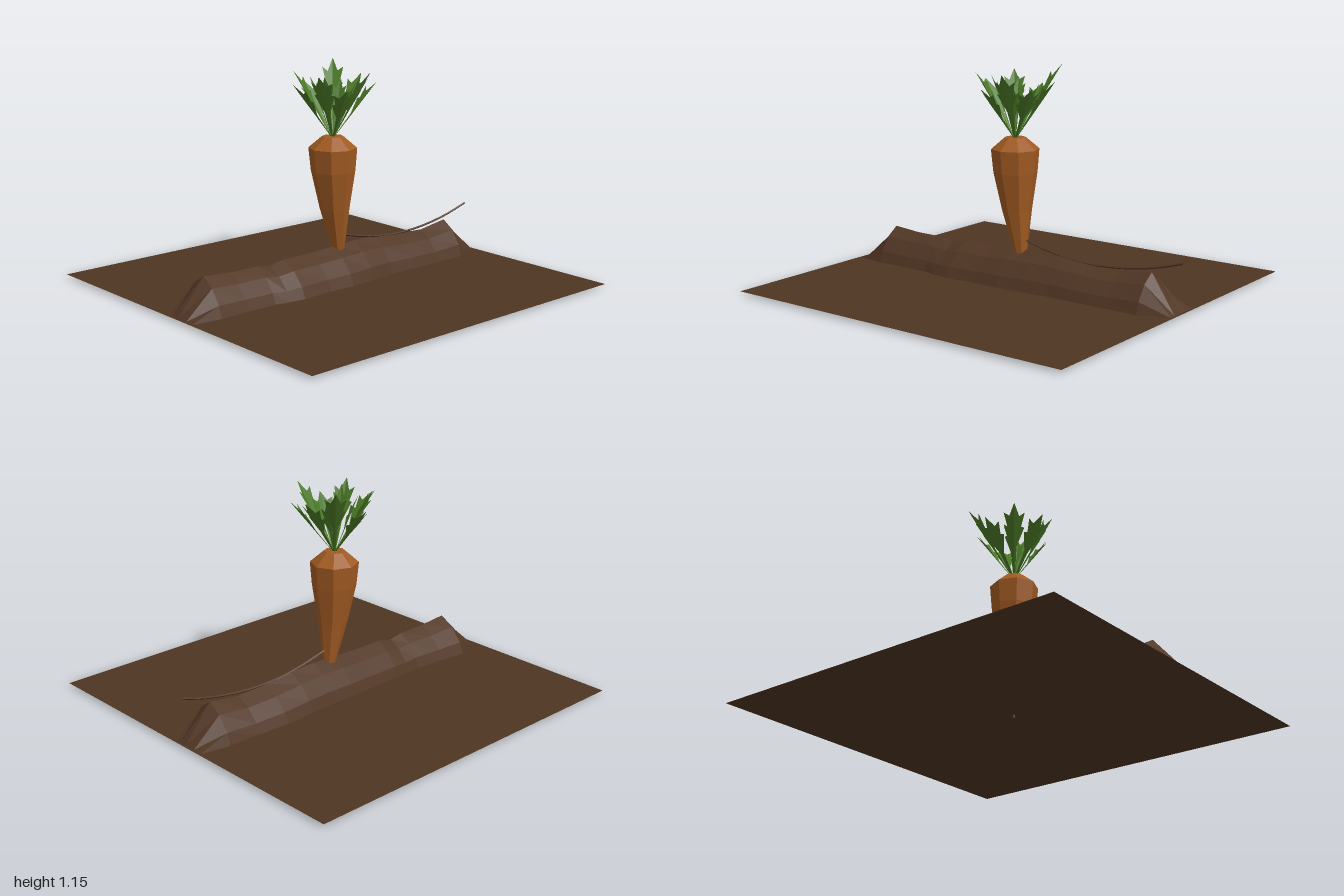
import * as THREE from 'three';

const paint = (name, color, doubleSided = false) => {
  const m = new THREE.MeshStandardMaterial({ color, flatShading: true });
  m.name = name;
  if (doubleSided) m.side = THREE.DoubleSide;
  return m;
};

// Skin a grid of equally long rows of points; closed joins each row end to its start.
function loft(rows, closed) {
  const n = rows[0].length, index = [];
  for (let i = 0; i < rows.length - 1; i++) {
    for (let j = 0; j < (closed ? n : n - 1); j++) {
      const a = i * n + j, b = i * n + (j + 1) % n;
      index.push(a, a + n, b, b, a + n, b + n);
    }
  }
  const g = new THREE.BufferGeometry();
  g.setAttribute('position', new THREE.Float32BufferAttribute(rows.flat(2), 3));
  g.setIndex(index);
  g.computeVertexNormals();
  return g;
}

export function createModel() {
  const group = new THREE.Group();
  const soil = paint('soil brown', 0x4e3522, true);
  const earth = paint('mound brown', 0x523725, true);
  const orange = paint('carrot orange', 0xa05a22);
  const green = paint('leaf green', 0x4a7826, true);
  const add = (name, geometry, material, parent = group) => {
    const mesh = new THREE.Mesh(geometry, material);
    mesh.name = name;
    parent.add(mesh);
    return mesh;
  };

  // Flat ground sheet
  const groundY = 0.016;
  const ground = new THREE.PlaneGeometry(2, 2).rotateX(-Math.PI / 2);
  add('ground', ground, soil).position.y = groundY;

  // Ridge of earth: x, crest height, front depth, back depth
  const sections = [
    [-0.985, 0.017, 0.14, 0.09], [-0.83, 0.197, 0.14, 0.168], [-0.67, 0.184, 0.138, 0.15],
    [-0.5, 0.182, 0.14, 0.135], [-0.42, 0.17, 0.155, 0.138], [-0.33, 0.186, 0.168, 0.142],
    [-0.15, 0.187, 0.158, 0.145], [0, 0.194, 0.163, 0.15], [0.15, 0.2, 0.152, 0.148],
    [0.3, 0.195, 0.138, 0.155], [0.47, 0.18, 0.14, 0.162], [0.65, 0.173, 0.138, 0.155],
    [0.83, 0.2, 0.14, 0.152], [0.985, 0.017, 0.085, 0.14],
  ];
  const profile = [[1, 0], [0.85, 0.33], [0.47, 0.74], [0, 1], [-0.47, 0.74], [-0.85, 0.33], [-1, 0]];
  add('mound', loft(sections.map(([x, top, front, back]) => profile.map(([d, h]) => [
    x, groundY + h * (top - groundY), d * (d > 0 ? front : back),
  ])), false), earth);

  // Eight-sided carrot root, bending slightly: height, radius, sideways offset
  const rings = [
    [0.78, 0.001, 0], [0.78, 0.055, 0], [0.72, 0.126, 0], [0.6, 0.115, 0.002],
    [0.4, 0.078, 0.012], [0.18, 0.034, 0.036], [0, 0.002, 0],
  ];
  add('carrotRoot', loft(rings.map(([y, r, x]) => Array.from({ length: 8 }, (_, i) => {
    const a = -i * Math.PI / 4;
    return [x + r * Math.cos(a), y, r * Math.sin(a)];
  })), true), orange);

  // Thin trailing rootlet
  const path = new THREE.CatmullRomCurve3([
    [0.05, 0.252], [0.2, 0.215], [0.36, 0.189], [0.52, 0.183], [0.7, 0.198], [0.86, 0.228], [0.998, 0.268],
  ].map(([x, y]) => new THREE.Vector3(x, y, 0)));
  add('rootlet', new THREE.TubeGeometry(path, 14, 0.006, 4), earth);

  // Toothed leaf on a thin stalk, creased along its spine.
  // Outline: spine position, edge position, half width
  const outline = [
    [0, 0, 0.004], [0.42, 0.42, 0.012], [0.52, 0.66, 0.052], [0.62, 0.68, 0.036],
    [0.7, 0.86, 0.055], [0.8, 0.82, 0.026], [1, 1, 0.001],
  ];
  const frond = (reach, top, width) => {
    const at = (t, s) => [
      0.004 + reach * t - 0.2 * Math.abs(s), 0.77 + (top - 0.77) * t + 0.25 * Math.abs(s), s,
    ];
    return loft(outline.map(([spine, edge, half]) => [
      at(edge, -half * width), at(spine, 0), at(edge, half * width),
    ]), false);
  };

  // Crown of spreading fronds: reach, tip height
  const crown = new THREE.Group();
  crown.name = 'leafCrown';
  group.add(crown);
  const fronds = [
    [0.225, 1.08], [0.24, 1.15], [0.23, 1.04], [0.2, 1.11], [0.225, 1.06],
    [0.2, 1.11], [0.2, 1.04], [0.21, 1.12], [0.22, 1.05],
  ];
  fronds.forEach(([reach, top], i) => {
    const leaf = add('frond', frond(reach, top, 1), green, crown);
    leaf.rotation.y = i * Math.PI * 2 / fronds.length + 0.15;
  });

  // Steeper inner leaves
  for (let i = 0; i < 4; i++) {
    const leaf = add('innerLeaf', frond(0.12, 1.06 + 0.02 * (i % 3), 0.7), green, crown);
    leaf.rotation.y = i * Math.PI / 2 + 0.5;
  }
  return group;
}
